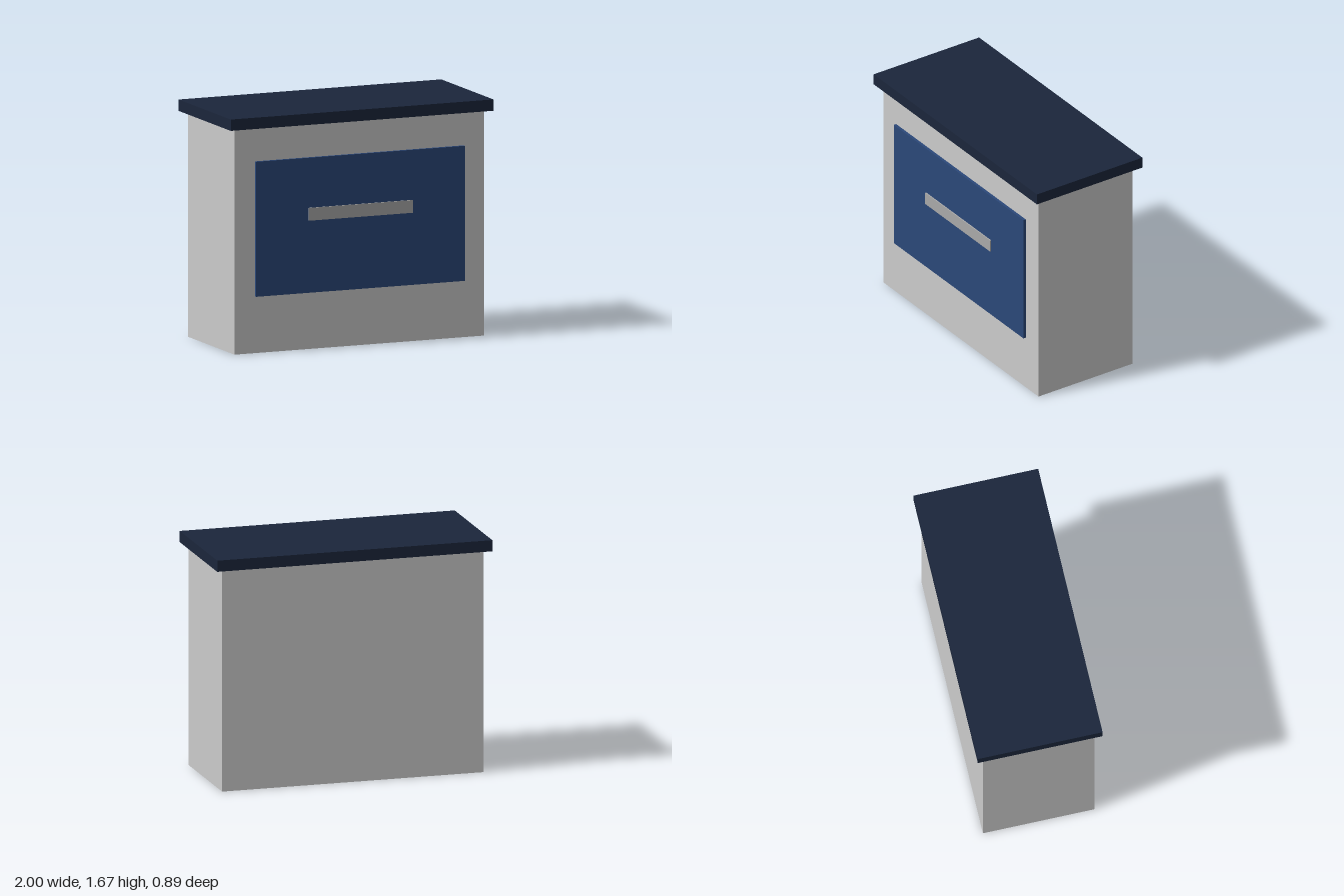
import * as THREE from 'three';

// Box given by its width and its y and z extents, centred on x = 0
function slab(name, color, width, y0, y1, z0, z1) {
  const mesh = new THREE.Mesh(
    new THREE.BoxGeometry(width, y1 - y0, z1 - z0),
    new THREE.MeshStandardMaterial({ color })
  );
  mesh.name = name;
  mesh.position.set(0, (y0 + y1) / 2, (z0 + z1) / 2);
  return mesh;
}

export function createModel() {
  const group = new THREE.Group();
  group.name = 'counter';
  group.add(
    slab('body', 0xcccccc, 1.9, 0, 1.59, -0.397, 0.397),
    slab('countertop', 0x1b263b, 2, 1.59, 1.67, -0.445, 0.445),
    // Raised front panel with a thin strip on its face
    slab('frontPanel', 0x2b4879, 1.588, 0.4, 1.353, 0.39, 0.417),
    slab('panelStrip', 0xaaaaaa, 0.794, 0.91, 1.0, 0.41, 0.425)
  );
  return group;
}
